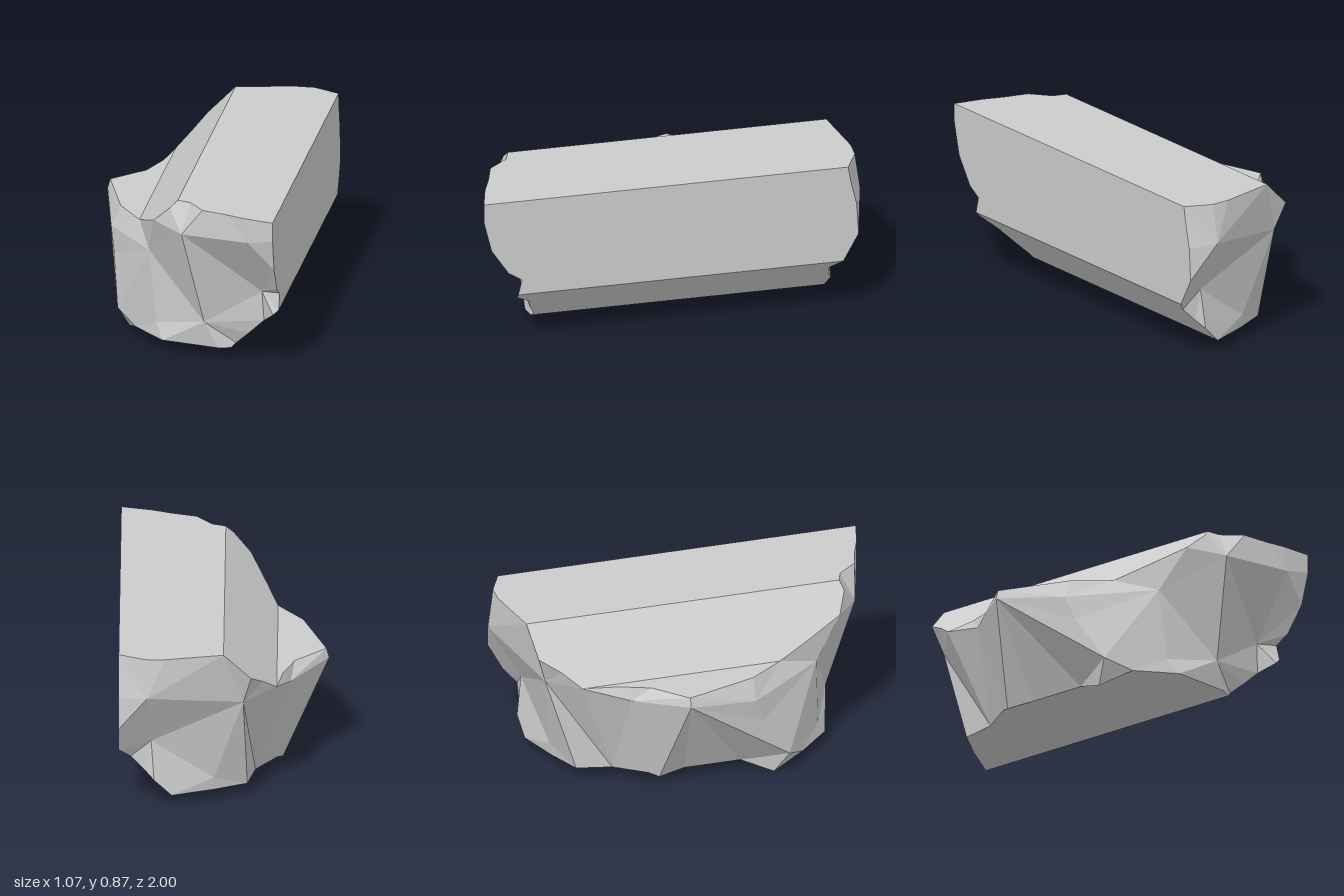
import * as THREE from 'three';

const points = (list) => list.map((p) => new THREE.Vector3(...p));

// Front rim: from the ledge tip over the top, down the flat side and along the base
const f = points([
  [-0.52, 0.6, -0.19], [-0.4, 0.6, 0.18], [-0.27, 0.6, 0.36],
  [-0.21, 0.66, 0.52], [-0.13, 0.74, 0.72], [-0.04, 0.83, 0.77],
  [0, 0.87, 0.755], [0.07, 0.87, 0.78], [0.15, 0.87, 0.88],
  [0.28, 0.87, 0.92], [0.38, 0.87, 0.96], [0.535, 0.87, 1],
  [0.535, 0.77, 1], [0.535, 0.6, 0.96], [0.535, 0.46, 0.87],
  [0.535, 0.415, 0.8], [0.535, 0.33, 0.82],
  [0.505, 0.3, 0.82], [0.445, 0.24, 0.745], [0.36, 0.155, 0.72],
  [0.29, 0.085, 0.685], [0.265, 0.06, 0.695],
  [0.2, 0.06, 0.71], [-0.1, 0.06, 0.65], [-0.27, 0.06, 0.48],
  [-0.33, 0, 0.31], [-0.27, 0.06, 0.15],
]);

// Back rim, in the same order
const b = points([
  [-0.52, 0.6, -0.19], [-0.36, 0.6, -0.35], [-0.3, 0.6, -0.51], [-0.27, 0.6, -0.69],
  [-0.2, 0.67, -0.78], [-0.14, 0.73, -0.885], [0, 0.87, -0.91],
  [0.3, 0.87, -0.97], [0.4, 0.87, -0.97], [0.535, 0.87, -0.905],
  [0.535, 0.78, -0.92], [0.535, 0.65, -0.95], [0.535, 0.48, -0.96], [0.535, 0.33, -0.88],
  [0.475, 0.27, -0.82], [0.405, 0.2, -0.83], [0.355, 0.15, -0.855], [0.265, 0.06, -0.84],
  [0.05, 0.06, -0.76], [-0.12, 0.06, -0.68], [-0.16, 0.06, -0.5],
  [-0.27, 0.06, -0.34], [-0.27, 0.06, -0.15],
]);

// Peaks and hollows of the broken front
const [crown, brow, shoulder, notch, belly, foot] = points([
  [0.035, 0.72, 0.85], [0.4, 0.74, 0.965], [-0.18, 0.52, 0.58],
  [0.435, 0.4, 0.75], [0.13, 0.2, 0.72], [-0.14, 0.14, 0.6],
]);
// ... of the broken side
const [tip, cheek, flank, heel, nub, dent] = points([
  [-0.535, 0.55, -0.19], [-0.45, 0.49, 0.18], [-0.425, 0.36, 0.23],
  [-0.38, 0.12, 0.38], [-0.3, 0.045, -0.29], [-0.34, 0.53, -0.45],
]);
// ... of the broken back
const [backShoulder, backPeak, backHollow, backFoot] = points([
  [-0.1, 0.58, -0.84], [0.39, 0.665, -1], [0.37, 0.36, -0.83], [0.05, 0.13, -0.77],
]);

// Triangles around a hub; clockwise rings are turned over
function fan(hub, ring, clockwise = false) {
  const out = [];
  for (let i = 0; i + 1 < ring.length; i++) {
    out.push(hub, ring[clockwise ? i + 1 : i], ring[clockwise ? i : i + 1]);
  }
  return out;
}

// Flat polygon lying along z, facing (nx, ny)
function flat(nx, ny, loop) {
  const contour = loop.map((p) => new THREE.Vector2(p.x * ny - p.y * nx, p.z));
  const normal = new THREE.Vector3(nx, ny, 0);
  return THREE.ShapeUtils.triangulateShape(contour, []).flatMap((tri) => {
    const [p, q, r] = tri.map((i) => loop[i]);
    const n = q.clone().sub(p).cross(r.clone().sub(p));
    return n.dot(normal) < 0 ? [p, r, q] : [p, q, r];
  });
}

// Flat face between a run of the front rim and a run of the back rim
const strip = (nx, ny, f0, f1, b0, b1) =>
  flat(nx, ny, [...f.slice(f0, f1 + 1), ...b.slice(b0, b1 + 1).reverse()]);

export function createModel() {
  const group = new THREE.Group();
  group.name = 'brokenBlock';
  const material = new THREE.MeshStandardMaterial({ color: 0xcccccc, flatShading: true });

  const add = (name, ...parts) => {
    const geometry = new THREE.BufferGeometry().setFromPoints(parts.flat());
    geometry.computeVertexNormals();
    const mesh = new THREE.Mesh(geometry, material);
    mesh.name = name;
    group.add(mesh);
  };

  // Smooth cut faces running the length of the block
  add('topFace', strip(0, 1, 6, 11, 6, 9));
  add('upperBevel', strip(-1, 1, 2, 6, 3, 6));
  add('ledge', strip(0, 1, 0, 2, 1, 3));
  add('sideFace', strip(1, 0, 11, 16, 9, 13));
  add('lowerBevel', strip(1, -1, 16, 21, 13, 17));
  add('baseFace', flat(0, -1, [...f.slice(21, 25), f[26], ...b.slice(17).reverse()]));
  add('baseSpurs', [f[24], f[25], f[26]], [b[21], b[22], nub]);

  // Rough broken faces
  add('brokenFront',
    fan(shoulder, [foot, heel, flank, cheek, f[2], f[3], f[4], crown, belly, foot], true),
    fan(crown, [...f.slice(4, 9), brow, notch, belly], true),
    fan(brow, [...f.slice(8, 14), notch], true),
    fan(notch, [...f.slice(13, 19), belly], true),
    fan(belly, [...f.slice(18, 24), foot], true),
    fan(foot, [f[23], f[24], heel], true));
  add('brokenSide',
    fan(cheek, [tip, f[0], f[1], f[2]], true),
    fan(heel, [f[24], f[25], f[26]], true),
    fan(tip, [nub, b[22], f[26], heel, flank, cheek]),
    fan(dent, [nub, tip, ...b.slice(0, 4), b[20], b[21], nub]));
  add('brokenBack',
    fan(backShoulder, [b[19], b[20], ...b.slice(3, 7), backPeak, backHollow, backFoot, b[19]]),
    fan(backPeak, [...b.slice(6, 13), backHollow]),
    fan(backHollow, [...b.slice(12, 17), backFoot]),
    fan(backFoot, b.slice(16, 20)));

  return group;
}
